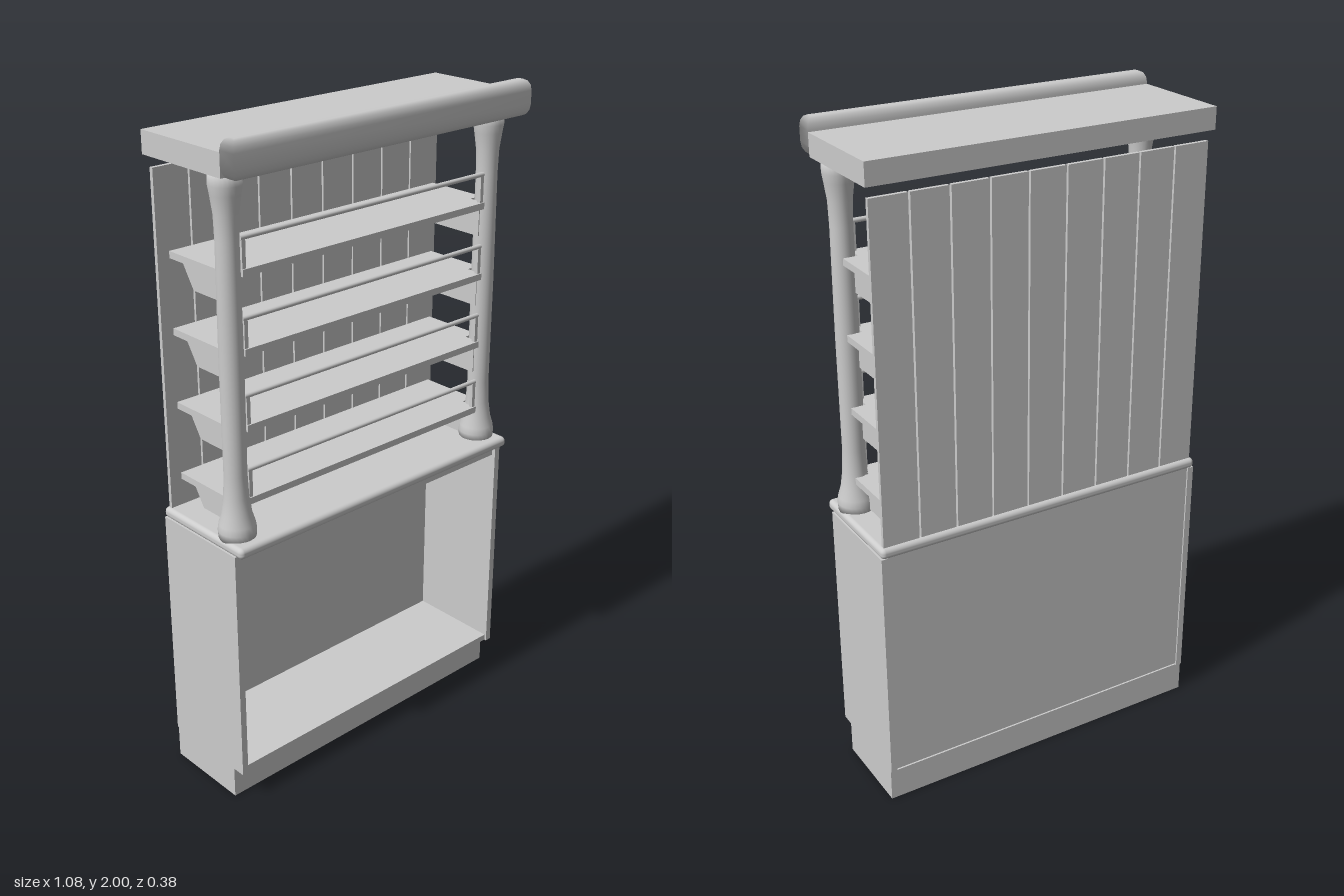
import * as THREE from 'three';
import { mergeVertices } from 'three/addons/utils/BufferGeometryUtils.js';
import { RoundedBoxGeometry } from 'three/addons/geometries/RoundedBoxGeometry.js';

export function createModel() {
  const root = new THREE.Group();
  root.name = 'displayShelfUnit';
  const grey = new THREE.MeshStandardMaterial({ color: 0xcccccc });
  grey.name = 'plainGrey';

  const add = (name, geometry, x = 0, y = 0, z = 0) => {
    const mesh = new THREE.Mesh(geometry, grey);
    mesh.name = name;
    mesh.position.set(x, y, z);
    root.add(mesh);
    return mesh;
  };
  // Box given by its minimum and maximum on each axis
  const box = (name, x0, x1, y0, y1, z0, z1) =>
    add(name, new THREE.BoxGeometry(x1 - x0, y1 - y0, z1 - z0), (x0 + x1) / 2, (y0 + y1) / 2, (z0 + z1) / 2);
  const polygon = (points) => new THREE.Shape(points.map(([a, b]) => new THREE.Vector2(a, b)));

  // Cabinet, open at the front
  box('plinth', -0.54, 0.54, 0, 0.1, -0.18, 0.095);
  box('cabinetFloor', -0.522, 0.522, 0.1, 0.12, -0.165, 0.13);
  box('cabinetBack', -0.522, 0.522, 0.105, 0.84, -0.18, -0.165);
  box('cabinetTopRail', -0.522, 0.522, 0.8, 0.82, 0.105, 0.125);
  box('cabinetCeiling', -0.522, 0.522, 0.82, 0.84, -0.165, 0.13);
  for (const s of [-1, 1]) {
    const side = box('cabinetSide', -0.01, 0.01, 0.1, 0.84, -0.185, 0.137);
    side.position.x = s * 0.53;
  }
  add('counterTop', new RoundedBoxGeometry(1.08, 0.033, 0.355, 3, 0.014), 0, 0.855, -0.0125);

  // Turned columns
  const profile = [
    [0, 0.865], [0.053, 0.865], [0.055, 0.89], [0.052, 0.91], [0.043, 0.94], [0.036, 0.99], [0.033, 1.06],
    [0.034, 1.4], [0.032, 1.72], [0.034, 1.79], [0.041, 1.84], [0.045, 1.865], [0.045, 1.9], [0, 1.9],
  ].map(([r, y]) => new THREE.Vector2(r, y));
  for (const s of [-1, 1]) add('column', new THREE.LatheGeometry(profile, 24), s * 0.485, 0, 0.082);

  // Back planks with narrow gaps
  for (let i = -4; i <= 4; i++) box('backPlank', i * 0.118 - 0.056, i * 0.118 + 0.056, 0.865, 1.865, -0.177, -0.165);

  // Shelves notched around the columns, with end brackets and a front rod
  const shelfGeometry = new THREE.ExtrudeGeometry(
    polygon([[-0.455, -0.105], [0.455, -0.105], [0.455, -0.05], [0.5, -0.05], [0.5, 0.15], [-0.5, 0.15], [-0.5, -0.05], [-0.455, -0.05]]),
    { depth: 0.02, bevelEnabled: false },
  ).rotateX(-Math.PI / 2);
  const bracketGeometry = new THREE.ExtrudeGeometry(
    polygon([[-0.09, -0.02], [-0.09, -0.105], [0.095, -0.105], [0.137, -0.04], [0.137, -0.02]]),
    { depth: 0.016, bevelEnabled: false },
  ).rotateY(Math.PI / 2).translate(-0.008, 0, 0);
  const rodGeometry = new THREE.CylinderGeometry(0.007, 0.007, 0.91, 10).rotateZ(Math.PI / 2);
  for (let i = 0; i < 4; i++) {
    const top = 0.982 + i * 0.219;
    add('shelf', shelfGeometry, 0, top - 0.02, 0);
    add('shelfRod', rodGeometry, 0, top + 0.083, 0.095);
    for (const s of [-1, 1]) {
      add('shelfBracket', bracketGeometry, s * 0.458, top, 0);
      add('rodPost', new THREE.BoxGeometry(0.012, 0.09, 0.012), s * 0.447, top + 0.04, 0.095);
    }
  }

  // Canopy with a softly bevelled front moulding
  box('canopy', -0.54, 0.54, 1.898, 1.963, -0.19, 0.136);
  let moulding = new THREE.ExtrudeGeometry(
    polygon([[-0.522, -0.009], [0.522, -0.009], [0.522, 0.009], [-0.522, 0.009]]),
    { depth: 0.04, bevelThickness: 0.032, bevelSize: 0.018, bevelSegments: 3 },
  ).rotateX(-Math.PI / 2);
  moulding.deleteAttribute('normal');
  moulding.deleteAttribute('uv');
  moulding = mergeVertices(moulding, 1e-4);
  moulding.computeVertexNormals();
  add('canopyMoulding', moulding, 0, 1.928, 0.163);

  return root;
}
